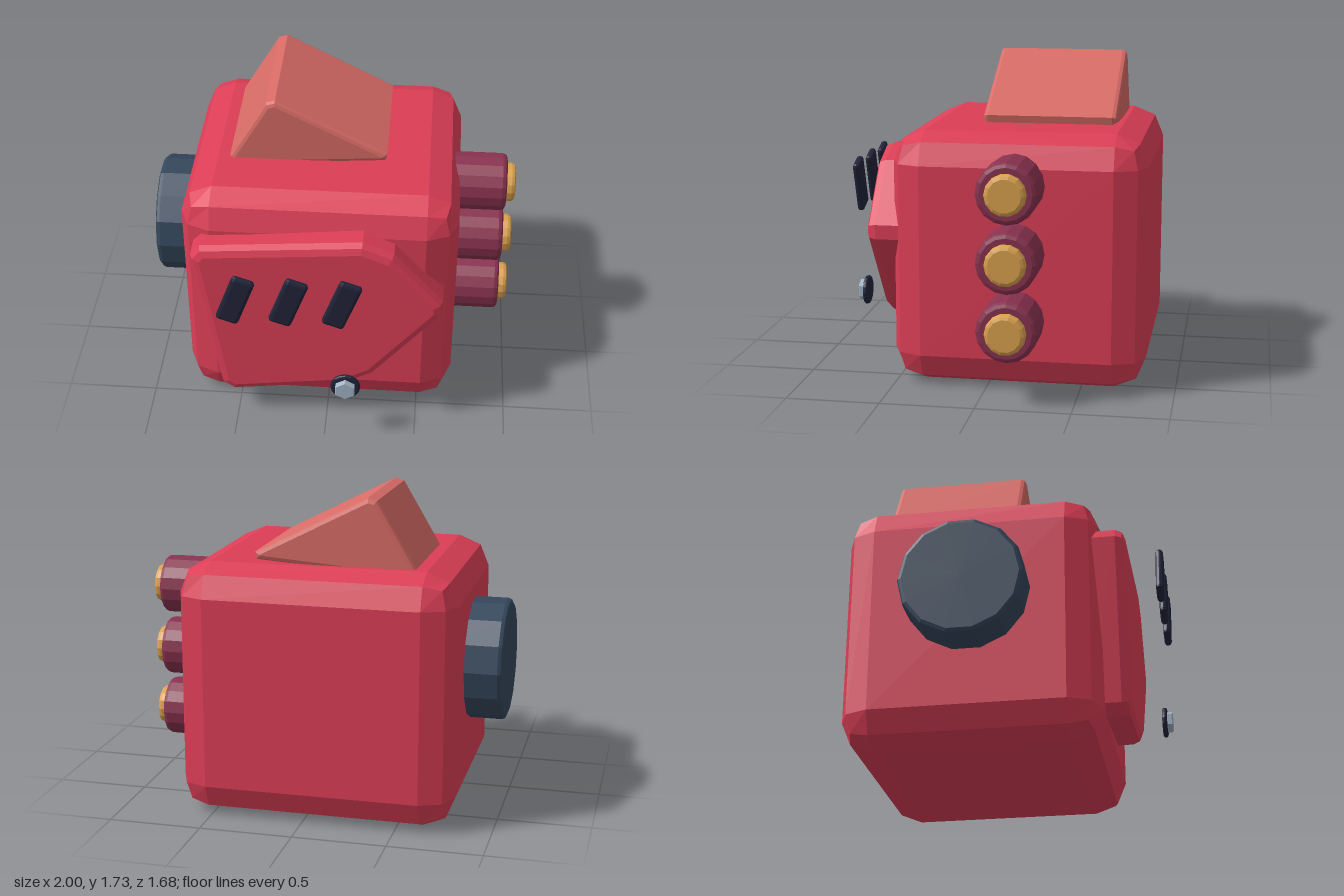
import * as THREE from 'three';
import { RoundedBoxGeometry } from 'three/addons/geometries/RoundedBoxGeometry.js';

const mat = (name, color) => {
  const m = new THREE.MeshStandardMaterial({ color });
  m.name = name;
  return m;
};

// Faceted normals
function flat(geo) {
  const g = geo.index ? geo.toNonIndexed() : geo;
  g.computeVertexNormals();
  return g;
}

// Box with every edge rounded in two facets
const softBox = (w, h, d, r) => flat(new RoundedBoxGeometry(w, h, d, 1, r));

// Disc along +y from y = 0 to h, with both rims bevelled by b
function bevelDisc(r, h, b, sides) {
  const k = b * 0.3;
  const pts = [[0, 0], [r - b, 0], [r - k, k], [r, b], [r, h - b], [r - k, h - k], [r - b, h], [0, h]];
  return flat(new THREE.LatheGeometry(pts.map(p => new THREE.Vector2(...p)), sides));
}

// Polygon extruded along z from z0 to z1; each corner is [x, y, cut length]
function bevelPrism(corners, z0, z1, bevel) {
  const pts = [];
  corners.forEach(([x, y, cut], i) => {
    const n = corners.length;
    const c = new THREE.Vector2(x, y);
    for (const j of [(i + n - 1) % n, (i + 1) % n]) {
      const dir = new THREE.Vector2(corners[j][0], corners[j][1]).sub(c).normalize();
      pts.push(c.clone().addScaledVector(dir, cut));
    }
  });
  const geo = new THREE.ExtrudeGeometry(new THREE.Shape(pts), {
    depth: z1 - z0 - 2 * bevel,
    bevelThickness: bevel, bevelSize: bevel, bevelOffset: -bevel, bevelSegments: 2,
  });
  geo.translate(0, 0, z0 + bevel);
  return flat(geo);
}

export function createModel() {
  const red = mat('red', 0xdc3e56);
  const coral = mat('coral', 0xd76b66);
  const plum = mat('plum', 0x89324f);
  const gold = mat('gold', 0xdba24e);
  const slate = mat('slate', 0x35475c);
  const ink = mat('ink', 0x22243a);
  const steel = mat('steel', 0xa3b4c6);

  const model = new THREE.Group();
  const add = (name, geo, material, x = 0, y = 0, z = 0) => {
    const mesh = new THREE.Mesh(geo, material);
    mesh.name = name;
    mesh.position.set(x, y, z);
    model.add(mesh);
    return mesh;
  };

  // Main block
  add('body', softBox(1.49, 1.365, 1.36, 0.17), red, -0.055, 0.6825, -0.16);

  // Raised five-sided front panel
  add('frontPanel', bevelPrism([
    [-0.58, 0.155, 0.06], [0.2, 0.26, 0.1], [0.655, 0.822, 0.05],
    [0.29, 1.243, 0.1], [-0.73, 1.16, 0.06],
  ], 0.4, 0.655, 0.05), red);

  // Wedge on top
  add('topWedge', bevelPrism([
    [-0.6, 1.31, 0.05], [0.355, 1.383, 0.075], [-0.345, 1.742, 0.035],
  ], -0.645, 0.08, 0.025), coral);

  // Three pipes with tips on the left side
  for (const y of [0.39, 0.75, 1.11]) {
    add('pipe', bevelDisc(0.162, 0.4, 0.025, 16), plum, 0.55, y, -0.155).rotation.z = -Math.PI / 2;
    add('pipeTip', bevelDisc(0.108, 0.08, 0.022, 14), gold, 0.92, y, -0.155).rotation.z = -Math.PI / 2;
  }

  // Large knob on the right side
  add('sideKnob', bevelDisc(0.33, 0.3, 0.025, 14), slate, -0.7, 0.795, -0.16).rotation.z = Math.PI / 2;

  // Slanted slats floating ahead of the panel
  for (const x of [-0.46, -0.182, 0.097]) {
    add('slat', softBox(0.125, 0.3, 0.04, 0.018), ink, x, 0.985, 0.82).rotation.z = -Math.PI / 9;
  }

  // Washer and hex bolt
  add('washer', bevelDisc(0.082, 0.026, 0.01, 16), ink, 0.115, 0.37, 0.77).rotation.x = Math.PI / 2;
  add('bolt', bevelDisc(0.06, 0.05, 0.005, 6), steel, 0.115, 0.37, 0.776).rotation.x = Math.PI / 2;

  return model;
}
